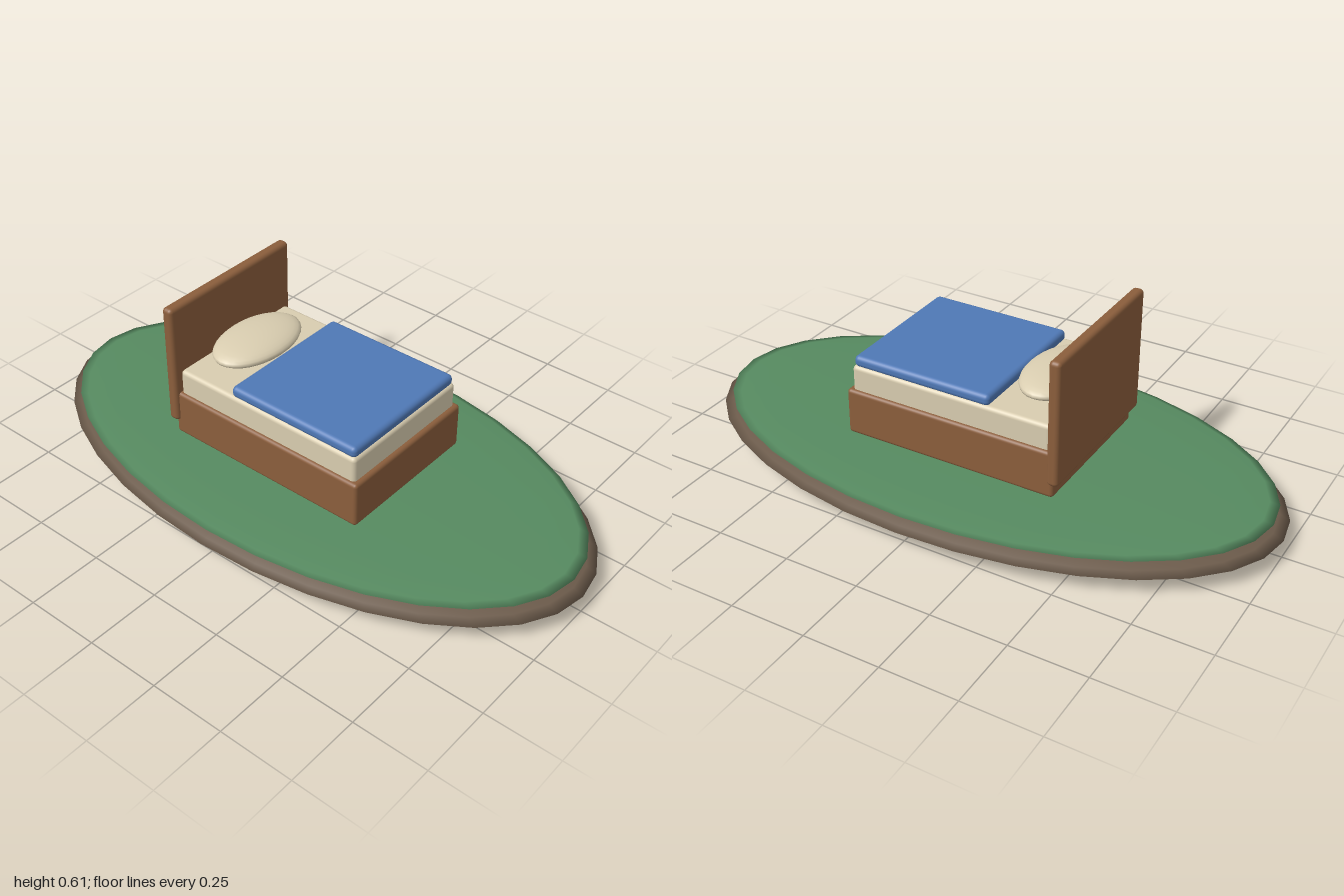
import * as THREE from 'three';
import { RoundedBoxGeometry } from 'three/addons/geometries/RoundedBoxGeometry.js';

const flat = (name, color) => {
  const m = new THREE.MeshStandardMaterial({ color });
  m.name = name;
  return m;
};

export function createModel() {
  const earth = flat('earth', 0x6b5a4a);
  const grass = flat('grass', 0x568a60);
  const wood = flat('wood', 0x8b5e3c);
  const linen = flat('linen', 0xd9cdb0);
  const cloth = flat('blanketBlue', 0x4f78b5);

  const model = new THREE.Group();
  model.name = 'bedOnIsland';

  const add = (name, geometry, material, x, y, z) => {
    const mesh = new THREE.Mesh(geometry, material);
    mesh.name = name;
    mesh.position.set(x, y, z);
    model.add(mesh);
  };

  // Stretched sphere given by its centre and radii
  const ellipsoid = (name, material, [x, y, z], [rx, ry, rz], rows) =>
    add(name, new THREE.SphereGeometry(1, 32, rows).scale(rx, ry, rz), material, x, y, z);

  // Soft-edged box given by its extents, symmetric in z
  const softBox = (name, material, [x0, x1], [y0, y1], halfZ, radius) =>
    add(name, new RoundedBoxGeometry(x1 - x0, y1 - y0, halfZ * 2, 3, radius),
      material, (x0 + x1) / 2, (y0 + y1) / 2, 0);

  // Ground
  ellipsoid('islandBase', earth, [0, 0.058, 0], [1, 0.058, 0.545], 12);
  ellipsoid('grassTop', grass, [0, 0.104, 0], [0.965, 0.017, 0.525], 12);

  // Bed
  softBox('bedFrame', wood, [-0.37, 0.365], [0.14, 0.297], 0.262, 0.012);
  softBox('headboard', wood, [-0.391, -0.352], [0.19, 0.61], 0.275, 0.014);
  softBox('mattress', linen, [-0.352, 0.349], [0.24, 0.38], 0.25, 0.014);
  softBox('blanket', cloth, [-0.14, 0.345], [0.374, 0.413], 0.245, 0.016);
  ellipsoid('pillow', linen, [-0.25, 0.41, 0], [0.108, 0.036, 0.176], 16);

  return model;
}
